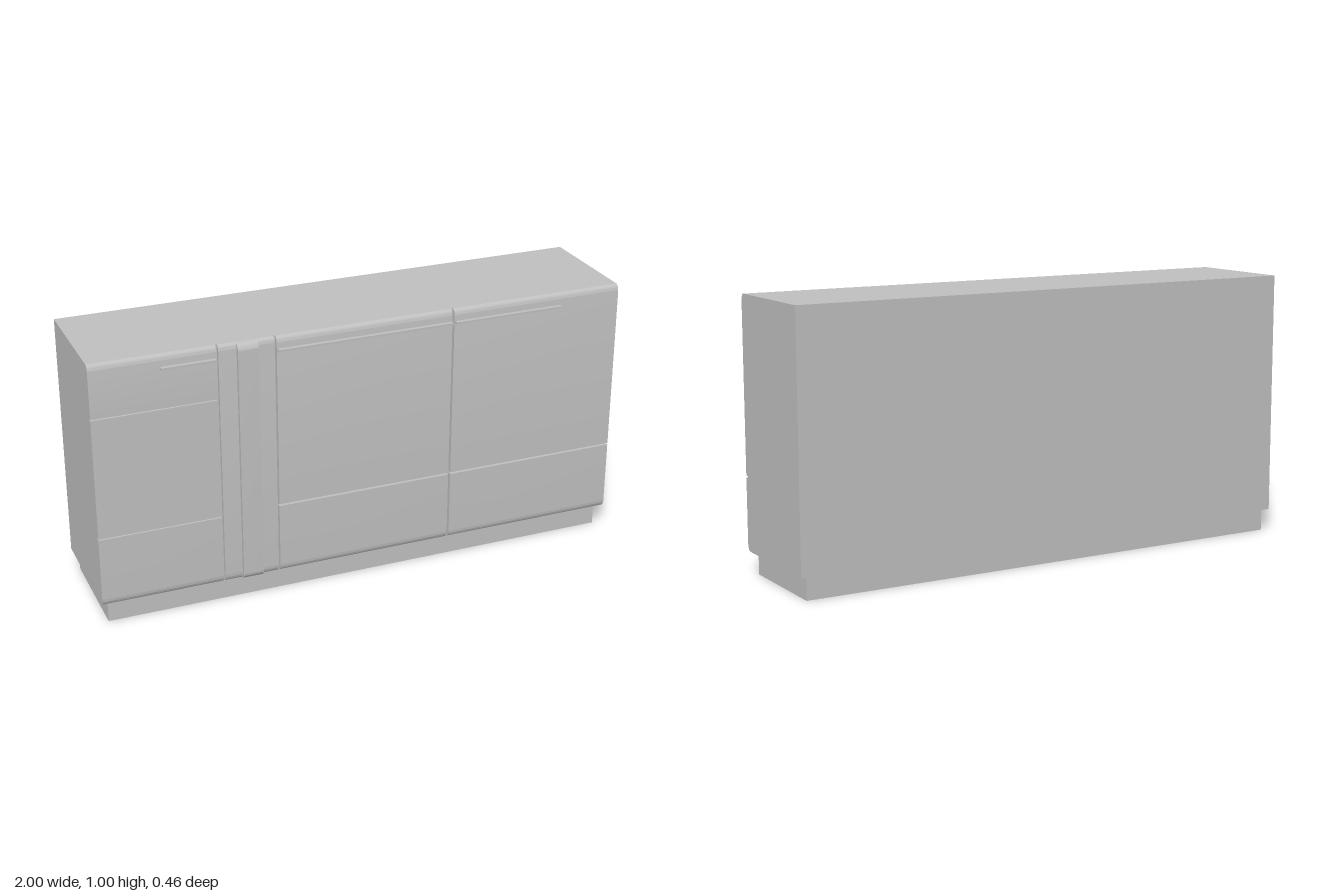
import * as THREE from 'three';
import { toCreasedNormals } from 'three/addons/utils/BufferGeometryUtils.js';

const BOTTOM = 0.083, TOP = 1, FACE = 0.2;

export function createModel() {
  const group = new THREE.Group();
  const grey = new THREE.MeshStandardMaterial({ color: 0xbfbfbf });
  grey.name = 'plain grey';

  function add(name, geometry) {
    const mesh = new THREE.Mesh(geometry, grey);
    mesh.name = name;
    group.add(mesh);
  }

  function box(name, x0, x1, y0, y1, z0, z1) {
    const geometry = new THREE.BoxGeometry(x1 - x0, y1 - y0, z1 - z0);
    geometry.translate((x0 + x1) / 2, (y0 + y1) / 2, (z0 + z1) / 2);
    add(name, geometry);
  }

  // Front panel swept along x, with optional rounded top and bottom front edges
  function panel(name, x0, x1, y0, y1, z1, roundBottom = true, roundTop = true) {
    const rz = z1 - FACE, ry = 0.028;
    const s = new THREE.Shape();
    s.moveTo(FACE, y0);
    if (roundBottom) s.absellipse(FACE, y0 + ry, rz, ry, -Math.PI / 2, 0, false, 0);
    else s.lineTo(z1, y0);
    if (roundTop) s.absellipse(FACE, y1 - ry, rz, ry, 0, Math.PI / 2, false, 0);
    else s.lineTo(z1, y1);
    s.lineTo(FACE, y1);
    s.closePath();
    const geometry = new THREE.ExtrudeGeometry(s, { depth: x1 - x0, bevelEnabled: false, curveSegments: 10 });
    geometry.rotateY(-Math.PI / 2);
    geometry.translate(x1, 0, 0);
    add(name, toCreasedNormals(geometry, 0.6));
  }

  // Carcass and recessed plinth
  box('carcass', -1, 1, BOTTOM, TOP, -0.232, FACE);
  box('plinth', -0.975, 0.975, 0, BOTTOM, -0.217, 0.185);

  // Three drawers beside the column
  const seams = [BOTTOM, 0.348, 0.802, TOP];
  for (let i = 0; i < 3; i++) {
    panel('drawerFront' + (i + 1), -1, -0.552,
      seams[i] + (i ? 0.002 : 0), seams[i + 1] - (i < 2 ? 0.002 : 0), 0.217, i === 0, i === 2);
  }

  // Two wide doors, each with a horizontal groove
  for (const [x0, x1] of [[-0.336, 0.328], [0.336, 1]]) {
    panel('doorLower', x0, x1, BOTTOM, 0.349, 0.217, true, false);
    panel('doorUpper', x0, x1, 0.356, TOP, 0.217, false, true);
  }

  // Vertical column with a raised centre strip
  panel('columnPanel', -0.545, -0.342, BOTTOM, TOP, 0.215);
  panel('columnStrip', -0.48, -0.405, BOTTOM - 0.002, TOP, 0.23);

  // Slim horizontal grips
  for (const [x0, x1] of [[-0.752, -0.555], [-0.334, 0.326], [0.338, 0.76]]) {
    box('handle', x0, x1, 0.949, 0.957, 0.215, 0.232);
  }

  return group;
}
